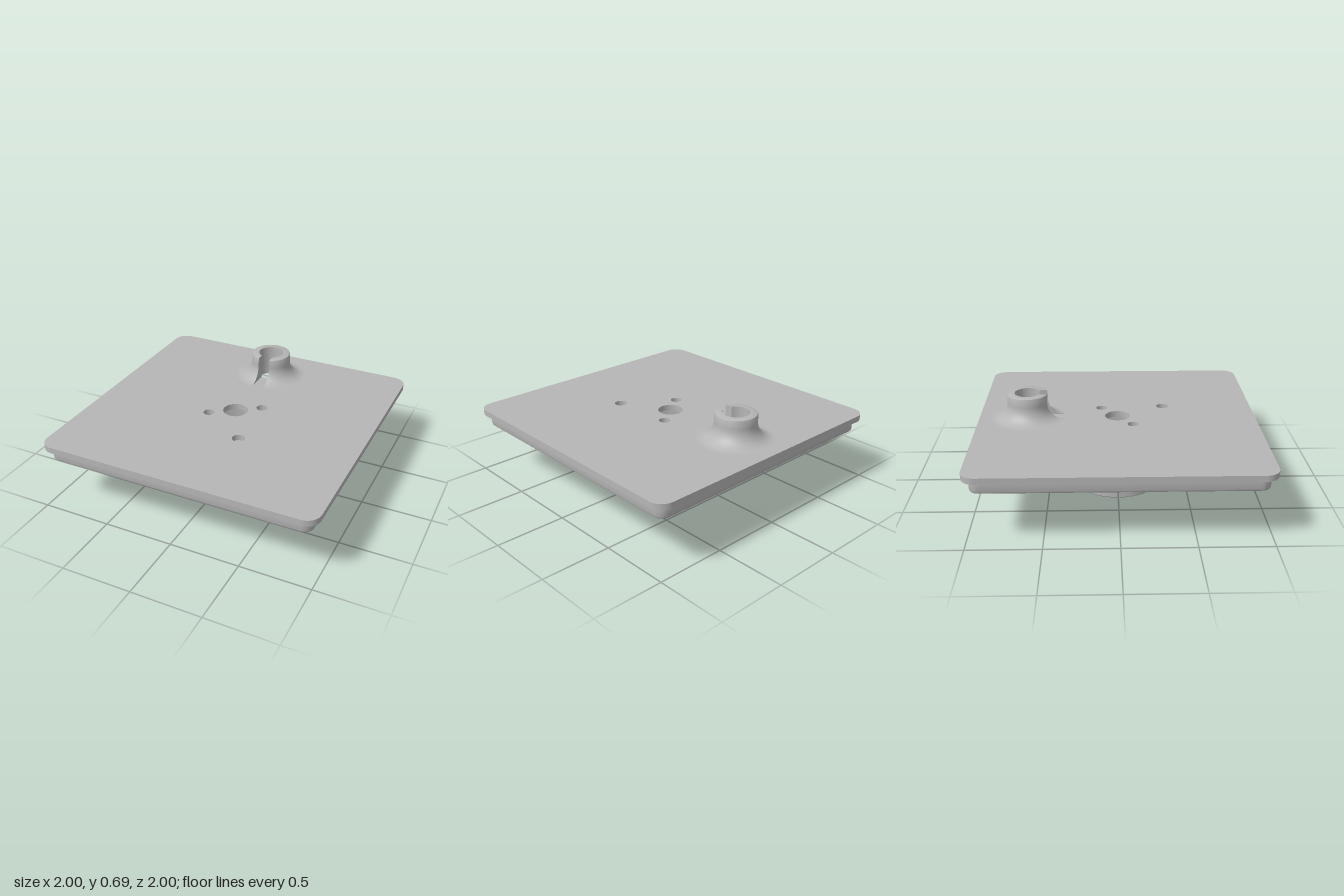
import * as THREE from 'three';
import { toCreasedNormals } from 'three/addons/utils/BufferGeometryUtils.js';

const grey = new THREE.MeshStandardMaterial({ color: 0xb6b6b6, side: THREE.DoubleSide });
grey.name = 'plain grey';

function part(name, geometry, crease = 0.6) {
  const mesh = new THREE.Mesh(toCreasedNormals(geometry, crease), grey);
  mesh.name = name;
  return mesh;
}

// Rounded square outline, as a Shape or as a hole Path
function roundedSquare(Kind, h, r) {
  const s = new Kind();
  s.moveTo(h, -h + r);
  s.lineTo(h, h - r).absarc(h - r, h - r, r, 0, Math.PI / 2);
  s.lineTo(-h + r, h).absarc(-h + r, h - r, r, Math.PI / 2, Math.PI);
  s.lineTo(-h, -h + r).absarc(-h + r, -h + r, r, Math.PI, Math.PI * 1.5);
  s.lineTo(h - r, -h).absarc(h - r, -h + r, r, Math.PI * 1.5, Math.PI * 2);
  return s;
}

// Lathe over a sweep whose ends stop at a parallel-sided slot of the given half width
function slottedLathe(profile, segments, start = 0, sweep = Math.PI * 2, half = 0) {
  const points = profile.map(([r, y]) => new THREE.Vector2(r, y));
  const geo = new THREE.LatheGeometry(points, segments);
  const pos = geo.attributes.position;
  for (let i = 0; i < pos.count; i++) {
    const [r, y] = profile[i % profile.length];
    const t = Math.floor(i / profile.length) / segments;
    const gap = half ? Math.asin(half / r) : 0;
    const a = start + gap + t * (sweep - 2 * gap);
    pos.setXYZ(i, r * Math.sin(a), y, r * Math.cos(a));
  }
  return geo;
}

// Flat wall of a slot, lying in the plane x = side * half
function slotWall(profile, half, side) {
  const pts = profile.map(([r, y]) => new THREE.Vector2(Math.sqrt(r * r - half * half), y));
  const geo = new THREE.ShapeGeometry(new THREE.Shape(pts));
  return geo.rotateY(-Math.PI / 2).translate(side * half, 0, 0);
}

export function createModel() {
  const model = new THREE.Group();
  model.name = 'mountingPlate';
  const plateTop = 0.508, plateBottom = 0.465, spoutZ = -0.645;

  // Top plate with its holes: x, z, radius
  const shape = roundedSquare(THREE.Shape, 1, 0.1);
  const holes = [[0, 0, 0.09], [0.16, -0.113, 0.04], [-0.16, 0.11, 0.04], [0.185, 0.342, 0.045], [0, spoutZ, 0.093]];
  for (const [x, z, r] of holes) shape.holes.push(new THREE.Path().absarc(x, z, r, 0, Math.PI * 2, true));
  const plate = new THREE.ExtrudeGeometry(shape, { depth: plateTop - plateBottom, bevelEnabled: false, curveSegments: 16 });
  model.add(part('plate', plate.rotateX(Math.PI / 2).translate(0, plateTop, 0)));

  // Rim under the plate, with softened lower edges
  const rimShape = roundedSquare(THREE.Shape, 0.955, 0.07);
  rimShape.holes.push(roundedSquare(THREE.Path, 0.9, 0.04));
  const rim = new THREE.ExtrudeGeometry(rimShape, {
    depth: 0.085, bevelThickness: 0.015, bevelSize: 0.015, bevelOffset: -0.015, bevelSegments: 3, curveSegments: 8,
  });
  model.add(part('rim', rim.rotateX(Math.PI / 2).translate(0, 0.475, 0)));

  // Socket: full ring above with a fillet into the plate
  const fillet = [];
  for (let i = 0; i <= 5; i++) {
    const a = (i / 5) * Math.PI / 2;
    fillet.push([0.365 - 0.04 * Math.cos(a), 0.425 + 0.04 * Math.sin(a)]);
  }
  const upper = [[0.29, 0.235], [0.323, 0.235], ...fillet, [0.29, 0.465], [0.29, 0.235]];
  model.add(part('socketRing', slottedLathe(upper, 48)));

  // Four fingers divided by narrow slits
  const finger = [[0.29, 0.235], [0.29, 0.008], [0.297, 0], [0.315, 0], [0.323, 0.008], [0.323, 0.235]];
  const fingers = new THREE.Group();
  fingers.name = 'socketFingers';
  for (let q = 0; q < 4; q++) {
    const g = new THREE.Group();
    g.name = 'socketFinger';
    g.add(part('fingerWall', slottedLathe(finger, 12, 0, Math.PI / 2, 0.011)));
    g.add(part('slitWall', slotWall(finger, 0.011, 1)));
    g.add(part('slitWall', slotWall(finger, 0.011, -1)));
    g.rotation.y = q * Math.PI / 2;
    fingers.add(g);
  }
  model.add(fingers);

  // Triangular braces on the diagonals
  const braceShape = new THREE.Shape();
  braceShape.moveTo(0.31, 0.34).lineTo(0.335, 0.34).lineTo(0.43, 0.466).lineTo(0.31, 0.466);
  for (let q = 0; q < 4; q++) {
    const geo = new THREE.ExtrudeGeometry(braceShape, { depth: 0.04, bevelEnabled: false });
    geo.translate(0, 0, -0.02).rotateY(Math.PI / 4 + q * Math.PI / 2);
    model.add(part('brace', geo));
  }

  // Blind boss with a recess open at the plate top
  const bossProfile = [[0, 0.355], [0.064, 0.355], [0.07, 0.358], [0.073, 0.365], [0.073, 0.466],
    [0.045, 0.466], [0.045, 0.39], [0.039, 0.385], [0, 0.385]];
  const boss = part('boss', slottedLathe(bossProfile, 28));
  boss.position.set(0.185, 0, 0.342);
  model.add(boss);

  // Spout with a flared foot and a slot facing forward
  const spoutProfile = [[0.093, plateTop]];
  for (let i = 0; i <= 10; i++) {
    const a = (i / 10) * Math.PI / 2;
    spoutProfile.push([0.267 - 0.12 * Math.sin(a), plateTop + 0.12 * (1 - Math.cos(a))]);
  }
  spoutProfile.push([0.147, 0.683], [0.144, 0.69], [0.137, 0.694], [0.093, 0.694], [0.093, plateTop]);
  const spout = new THREE.Group();
  spout.name = 'spout';
  spout.add(part('spoutBody', slottedLathe(spoutProfile.slice(1), 48, 0, Math.PI * 2, 0.044)));
  for (const side of [1, -1]) spout.add(part('spoutSlotWall', slotWall(spoutProfile.slice(0, -1), 0.044, side)));
  spout.position.z = spoutZ;
  model.add(spout);

  return model;
}
